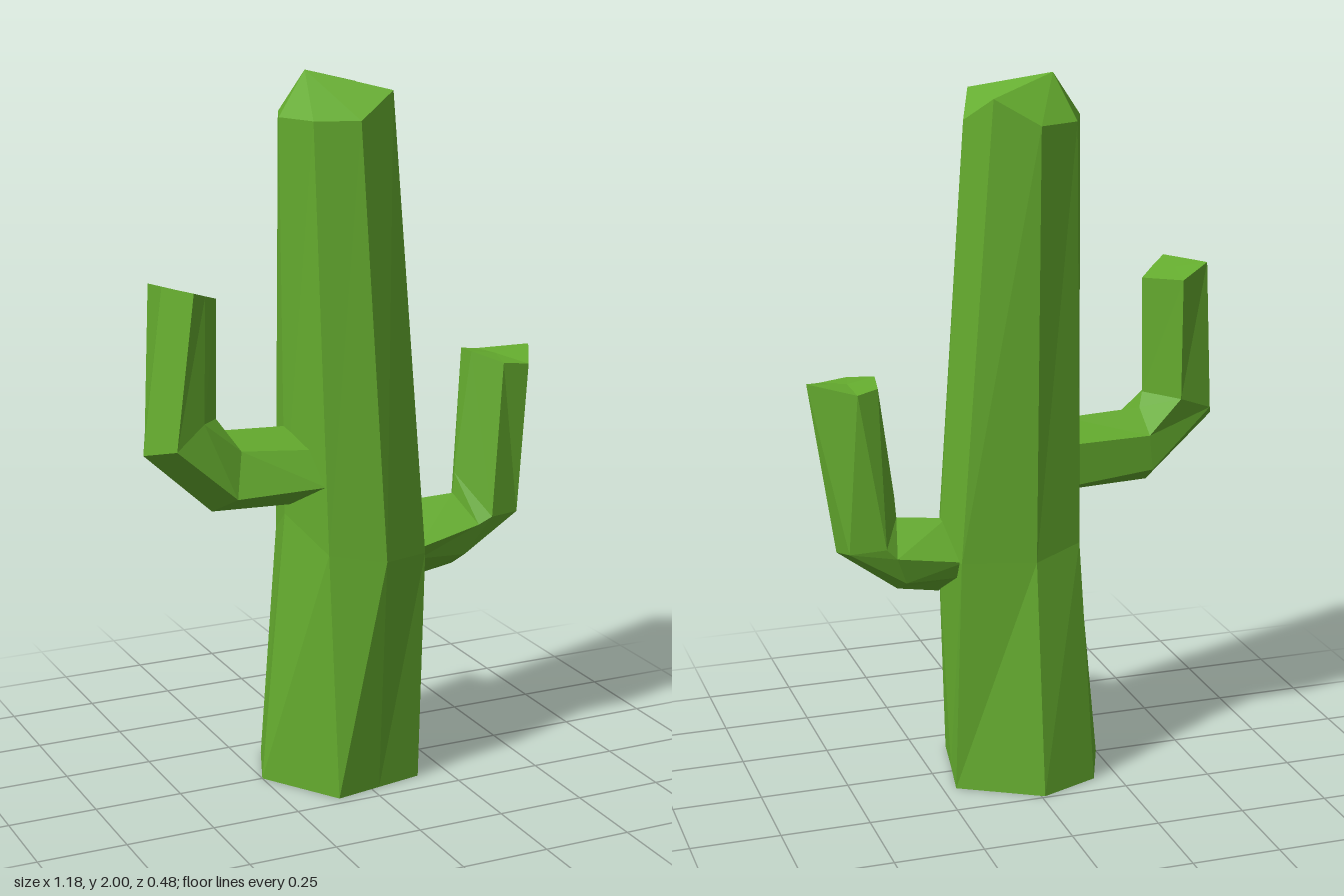
import * as THREE from 'three';

// Skin a list of rings (all the same point count), closing both ends with a fan.
function loft(rings, { flip = false, start, end } = {}) {
  const pos = [];
  const tri = (a, b, c) => pos.push(...a, ...(flip ? c : b), ...(flip ? b : c));
  const centre = (ring) => [0, 1, 2].map((k) => ring.reduce((s, p) => s + p[k], 0) / ring.length);
  const n = rings[0].length;
  const first = rings[0], last = rings[rings.length - 1];
  const startPoint = start || centre(first), endPoint = end || centre(last);
  for (let j = 0; j < n; j++) {
    const k = (j + 1) % n;
    for (let i = 0; i < rings.length - 1; i++) {
      const lo = rings[i], hi = rings[i + 1];
      tri(lo[j], hi[j], lo[k]);
      tri(lo[k], hi[j], hi[k]);
    }
    tri(startPoint, first[j], first[k]);
    tri(endPoint, last[k], last[j]);
  }
  const geometry = new THREE.BufferGeometry();
  geometry.setAttribute('position', new THREE.Float32BufferAttribute(pos, 3));
  geometry.computeVertexNormals();
  return geometry;
}

export function createModel() {
  const group = new THREE.Group();
  const green = new THREE.MeshStandardMaterial({ color: 0x64ab2e, flatShading: true });
  green.name = 'cactusGreen';

  const add = (name, geometry) => {
    const mesh = new THREE.Mesh(geometry, green);
    mesh.name = name;
    group.add(mesh);
  };

  // Trunk: uneven foot and waist, regular octagon at the shoulder, off-centre tip
  const foot = [
    [0.185, 0, 0.03], [0.16, 0, 0.17], [0.025, 0, 0.195], [-0.11, 0, 0.22],
    [-0.25, 0, 0], [-0.18, 0, -0.175], [-0.01, 0, -0.243], [0.213, 0, -0.115],
  ];
  const waist = [
    [0.225, 0.67, 0], [0.172, 0.67, 0.18], [0.025, 0.68, 0.24], [-0.12, 0.7, 0.175],
    [-0.175, 0.78, 0], [-0.15, 0.7, -0.12], [-0.01, 0.67, -0.165], [0.19, 0.67, -0.11],
  ];
  const shoulder = [];
  for (let j = 0; j < 8; j++) {
    const a = (j * Math.PI) / 4;
    const y = j === 1 || j === 7 ? 1.95 : 1.88;
    shoulder.push([-0.02 + 0.165 * Math.cos(a), y, 0.165 * Math.sin(a)]);
  }
  add('trunk', loft([foot, waist, shoulder], { end: [-0.1, 2, -0.02] }));

  // Arms: rings run inner, front inner, front outer, outer, back outer, back inner
  add('leftArm', loft([
    [[0.2, 0.77, 0], [0.17, 0.67, 0.14], [0.19, 0.63, 0.11],
      [0.22, 0.55, 0.02], [0.19, 0.62, -0.08], [0.18, 0.67, -0.1]],
    [[0.34, 0.78, 0.02], [0.37, 0.71, 0.125], [0.34, 0.62, 0.1],
      [0.34, 0.57, 0.02], [0.34, 0.62, -0.08], [0.37, 0.7, -0.1]],
    [[0.345, 0.84, 0.02], [0.41, 0.73, 0.13], [0.5, 0.73, 0.11],
      [0.515, 0.7, 0.01], [0.5, 0.72, -0.08], [0.4, 0.73, -0.1]],
    [[0.395, 1.19, 0.02], [0.45, 1.17, 0.11], [0.53, 1.16, 0.11],
      [0.59, 1.19, 0], [0.47, 1.17, -0.085], [0.41, 1.18, -0.07]],
  ], { flip: true }));

  add('rightArm', loft([
    [[-0.15, 1.03, 0], [-0.1, 0.98, 0.1], [-0.12, 0.89, 0.16],
      [-0.14, 0.81, 0.02], [-0.13, 0.86, -0.1], [-0.13, 0.98, -0.1]],
    [[-0.37, 1.04, 0], [-0.34, 1, 0.09], [-0.37, 0.88, 0.135],
      [-0.4, 0.82, 0.02], [-0.38, 0.88, -0.085], [-0.37, 0.98, -0.085]],
    [[-0.385, 1.08, 0.02], [-0.45, 1.09, 0.1], [-0.54, 1.03, 0.13],
      [-0.595, 1, 0.02], [-0.56, 1.04, -0.06], [-0.46, 1.08, -0.09]],
    [[-0.38, 1.41, 0.02], [-0.43, 1.43, 0.07], [-0.48, 1.45, 0.115],
      [-0.53, 1.453, 0.01], [-0.55, 1.455, -0.04], [-0.46, 1.42, -0.09]],
  ]));

  return group;
}
